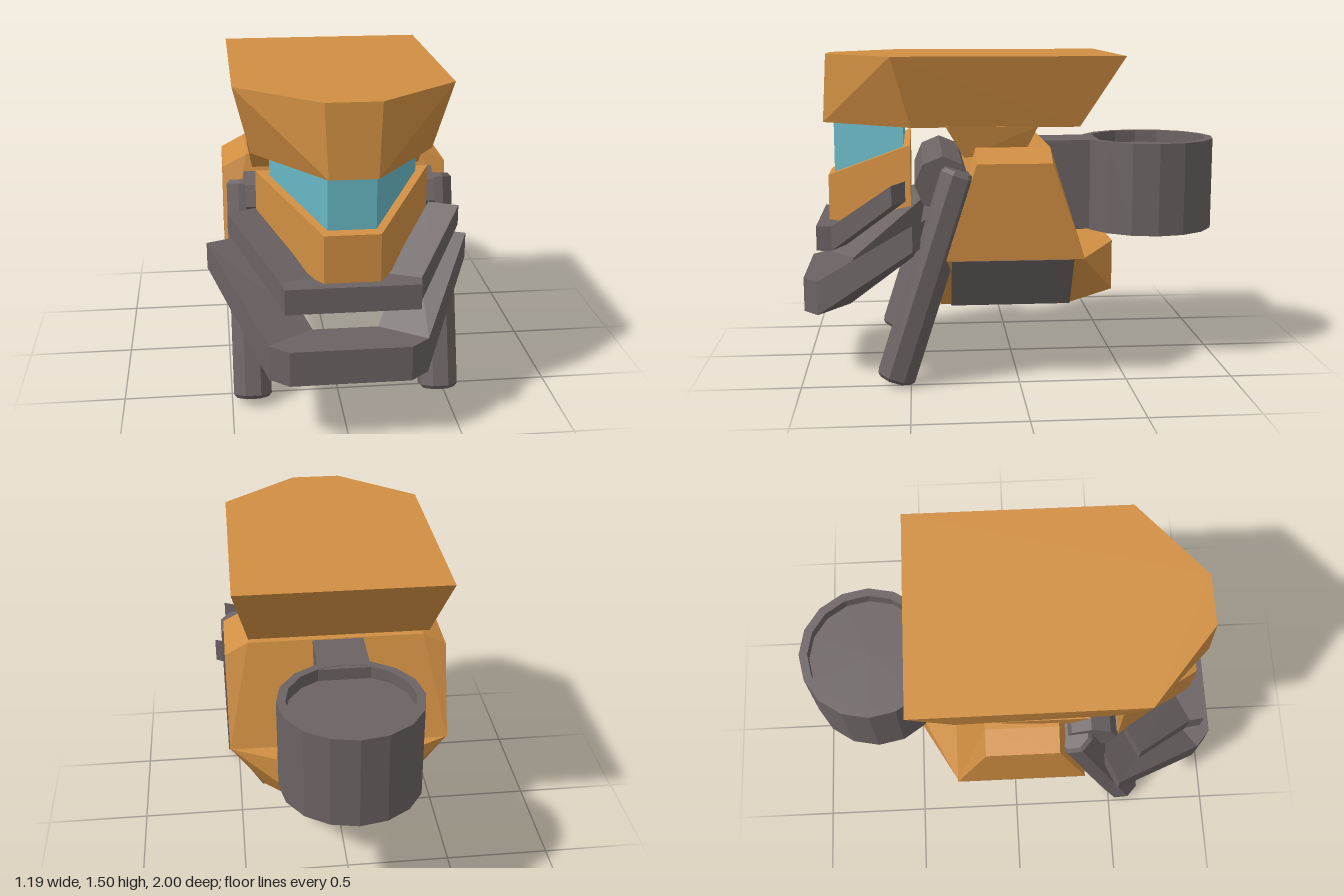
import * as THREE from 'three';
import { ConvexGeometry } from 'three/addons/geometries/ConvexGeometry.js';

const paint = (color) => new THREE.MeshStandardMaterial({ color, flatShading: true });
const orange = paint(0xd18f42), grey = paint(0x6c6363), glass = paint(0x68b8c4);
const CX = 0.018; // centre line of the main shell

export function createModel() {
  const model = new THREE.Group();

  function add(name, geometry, material, x = 0, y = 0, z = 0) {
    const mesh = new THREE.Mesh(geometry, material);
    mesh.name = name;
    mesh.position.set(x, y, z);
    model.add(mesh);
    return mesh;
  }

  // Convex faceted block from half-side points [x, y, z], mirrored across x
  function block(name, points, material, x = CX) {
    const all = points.flatMap(([px, py, pz]) => [
      new THREE.Vector3(px, py, pz), new THREE.Vector3(-px, py, pz)]);
    return add(name, new ConvexGeometry(all), material, x);
  }

  // Swept guard bar; half sections are [outerX, outerZ, innerX, innerZ, top, bottom]
  function bar(name, half, x) {
    const mirrored = half.map(([ox, oz, ix, iz, t, b]) => [-ox, oz, -ix, iz, t, b]).reverse();
    const sections = [...half, ...mirrored];
    const pos = [], index = [];
    for (const [ox, oz, ix, iz, t, b] of sections)
      pos.push(ox, t, oz, ix, t, iz, ix, b, iz, ox, b, oz);
    for (let s = 0; s < sections.length - 1; s++)
      for (let k = 0; k < 4; k++) {
        const a = s * 4 + k, b = s * 4 + (k + 1) % 4;
        index.push(a, a + 4, b, b, a + 4, b + 4);
      }
    const e = pos.length / 3 - 4;
    index.push(0, 1, 2, 0, 2, 3, e, e + 2, e + 1, e, e + 3, e + 2);
    const g = new THREE.BufferGeometry();
    g.setAttribute('position', new THREE.Float32BufferAttribute(pos, 3));
    g.setIndex(index);
    const flat = g.toNonIndexed();
    flat.computeVertexNormals();
    const mat = grey.clone();
    mat.side = THREE.DoubleSide;
    add(name, flat, mat, x);
  }

  // Roof and the neck beneath it
  block('roof', [
    [0.483, 1.5, -0.477], [0.481, 1.5, 0.573], [0.12, 1.5, 0.88],
    [0.415, 1.18, -0.28], [0.405, 1.18, 0.485], [0.104, 1.18, 0.9],
  ], orange);
  block('neck', [
    [0.415, 1.185, 0.33], [0.415, 1.185, -0.09],
    [0.39, 1.04, 0.245], [0.39, 1.08, -0.04],
  ], orange);

  // Cab with a wrap-round window
  block('cab', [
    [0.122, 0.93, 0.88], [0.122, 0.7, 0.88],
    [0.385, 1.1, 0.49], [0.385, 0.82, 0.49],
  ], orange);
  block('window', [
    [0.104, 1.18, 0.85], [0.104, 0.9, 0.85],
    [0.325, 1.18, 0.52], [0.325, 1.0, 0.52],
  ], glass);

  // Body with chamfered shoulders
  block('body', [
    [0.415, 1.087, 0.195], [0.415, 1.087, -0.145],
    [0.525, 1.028, 0.195], [0.525, 1.028, -0.145],
    [0.525, 0.92, 0.195], [0.525, 0.92, -0.145],
    [0.525, 0.59, 0.335], [0.525, 0.59, -0.293],
  ], orange);

  // Tapered base with a pointed tail and a grey underside
  block('base', [
    [0.52, 0.592, 0.325], [0.52, 0.592, -0.29], [0.135, 0.592, -0.484],
    [0.365, 0.35, 0.36], [0.365, 0.35, -0.25], [0.135, 0.35, -0.484],
  ], orange);
  block('undersidePanel', [
    [0.525, 0.588, 0.31], [0.525, 0.588, -0.245],
    [0.374, 0.345, 0.31], [0.374, 0.345, -0.245],
  ], grey);

  // Hip axle
  const axle = new THREE.CylinderGeometry(0.128, 0.128, 0.86, 8);
  axle.rotateZ(Math.PI / 2);
  add('hipAxle', axle, grey, CX, 0.925, 0.345);

  // Slanted eight-sided legs
  const foot = new THREE.Vector3(0, 0.024, 0.572), hip = new THREE.Vector3(0, 0.987, 0.262);
  const h = foot.distanceTo(hip) / 2;
  const legProfile = [[0, -h], [0.077, -h], [0.094, -h + 0.018],
    [0.094, h - 0.018], [0.077, h], [0, h]].map(p => new THREE.Vector2(...p));
  const legGeometry = new THREE.LatheGeometry(legProfile, 8, Math.PI / 8);
  legGeometry.rotateX(-Math.atan2(foot.z - hip.z, hip.y - foot.y));
  for (const side of [1, -1])
    add(side > 0 ? 'leftLeg' : 'rightLeg', legGeometry, grey,
      0.032 + side * 0.437, (foot.y + hip.y) / 2, (foot.z + hip.z) / 2);

  // Front guard bars
  bar('upperGuardBar', [
    [0.515, 0.575, 0.39, 0.515, 0.935, 0.843],
    [0.302, 0.86, 0.165, 0.8, 0.715, 0.6],
    [0.292, 0.93, 0.16, 0.8, 0.715, 0.6],
  ], 0.018);
  bar('lowerGuardBar', [
    [0.593, 0.485, 0.37, 0.39, 0.765, 0.645],
    [0.345, 0.93, 0.145, 0.79, 0.46, 0.3],
    [0.262, 1.0, 0.138, 0.79, 0.46, 0.3],
  ], 0);

  // Rear drum with a shallow rimmed top, and its mount
  const drum = [[0, 0.645], [0.325, 0.645], [0.325, 1.085],
    [0.285, 1.085], [0.285, 1.025], [0, 1.025]].map(p => new THREE.Vector2(...p));
  add('rearDrum', new THREE.LatheGeometry(drum, 16), grey, 0.01, 0, -0.675);
  add('drumMount', new THREE.BoxGeometry(0.24, 0.436, 0.32), grey, 0.01, 0.865, -0.26);

  return model;
}
